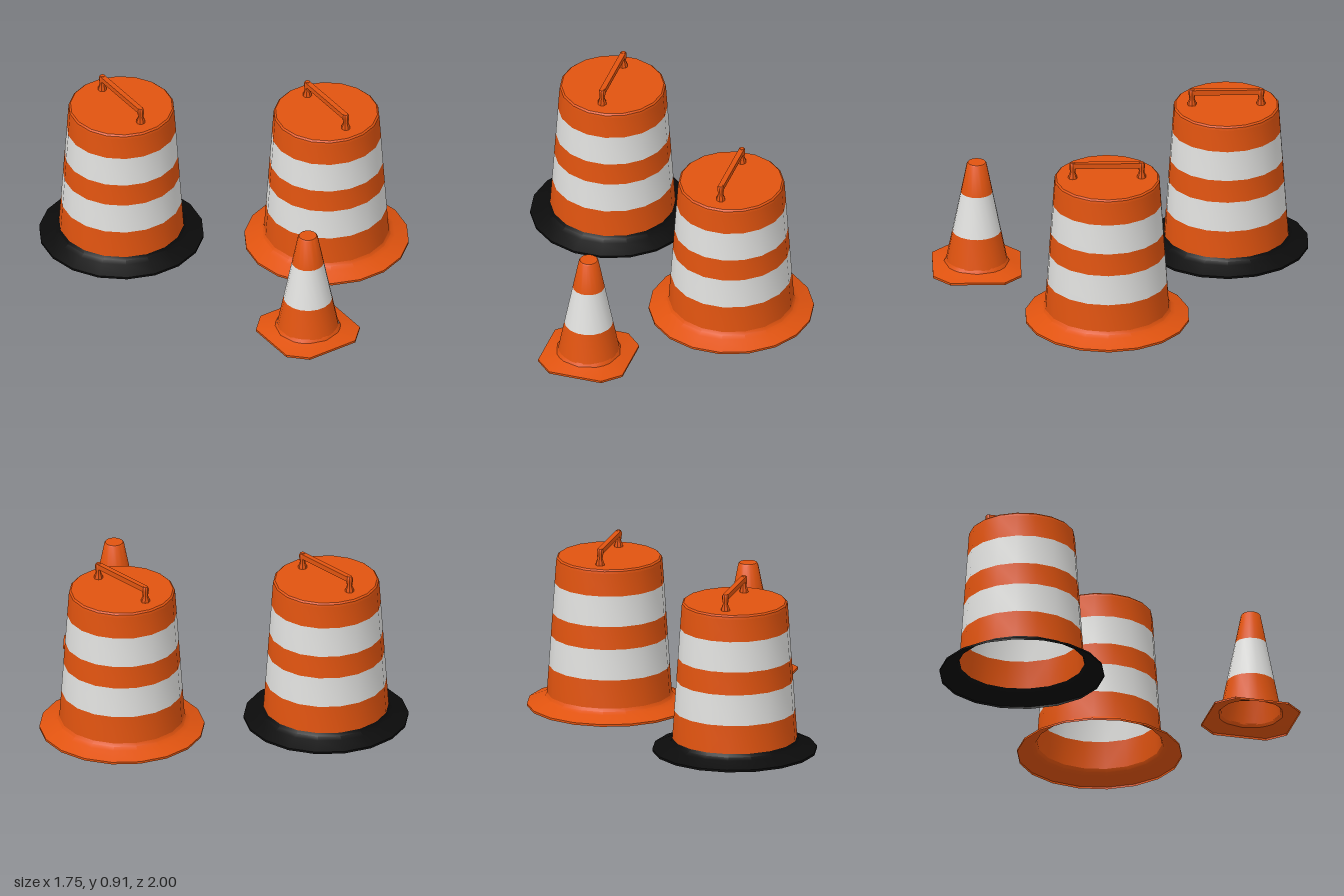
import * as THREE from 'three';
import { toCreasedNormals } from 'three/addons/utils/BufferGeometryUtils.js';

const SIDES = 18;

function material(name, color) {
  const m = new THREE.MeshStandardMaterial({ color, side: THREE.DoubleSide });
  m.name = name;
  return m;
}

function part(name, geometry, mat, parent) {
  const mesh = new THREE.Mesh(geometry, mat);
  mesh.name = name;
  parent.add(mesh);
  return mesh;
}

// Revolved shell from [radius, height] pairs, listed bottom to top
function turned(profile, sides = SIDES) {
  const points = profile.map(([r, y]) => new THREE.Vector2(r, y));
  return toCreasedNormals(new THREE.LatheGeometry(points, sides, Math.PI / 2), 0.6);
}

// Traffic drum: open underneath, striped tapering wall, flared foot ring, handle
function makeDrum(name, orange, white, footMaterial) {
  const drum = new THREE.Group();
  drum.name = name;
  const radius = (y) => 0.333 - (y - 0.07) * 0.0685;

  part('footRing', turned([[0.439, 0], [0.439, 0.012], [0.365, 0.042], [0.342, 0.054], [0.333, 0.07]]), footMaterial, drum);

  const edges = [0.07, 0.222, 0.388, 0.512, 0.677, 0.8];
  for (let i = 0; i < edges.length - 1; i++) {
    const [a, b] = [edges[i], edges[i + 1]];
    const striped = i % 2 === 1;
    part(striped ? 'reflectiveBand' : 'drumWall', turned([[radius(a), a], [radius(b), b]]), striped ? white : orange, drum);
  }
  part('lid', turned([[radius(0.8), 0.8], [0.281, 0.812], [0.272, 0.82], [0, 0.82]]), orange, drum);

  // Carry handle running front to back
  const bar = part('handleBar', new THREE.BoxGeometry(0.028, 0.028, 0.37), orange, drum);
  bar.position.y = 0.893;
  for (const s of [-1, 1]) {
    const post = part('handlePost', turned([[0.025, 0.815], [0.023, 0.832], [0.014, 0.855], [0.018, 0.882], [0.018, 0.9], [0.012, 0.909], [0, 0.909]], 8), orange, drum);
    post.position.z = s * 0.183;
  }
  return drum;
}

// Cone base: rings blending from a circle out to a square with cut corners
function coneBaseGeometry() {
  const half = 0.235, flat = 0.145;
  const corner = Math.atan2(flat, half);
  const angles = [];
  for (let q = 0; q < 4; q++) {
    for (const a of [0, corner, Math.PI / 4, Math.PI / 2 - corner]) angles.push(q * Math.PI / 2 + a);
  }
  const outline = (a) => {
    const c = Math.abs(Math.cos(a)), s = Math.abs(Math.sin(a));
    return Math.min(half / Math.max(c, s), (half + flat) / (c + s));
  };
  // [height, circle radius, blend towards the outline]
  const rings = [[0.024, 0, 1], [0.036, 0, 1], [0.05, 0.188, 0.1], [0.057, 0.174, 0], [0.075, 0.163, 0]];
  const n = angles.length;
  const positions = [], index = [];
  for (const [y, r, t] of rings) {
    for (const a of angles) {
      const d = r + (outline(a) - r) * t;
      positions.push(Math.sin(a) * d, y, Math.cos(a) * d);
    }
  }
  for (let k = 0; k < rings.length - 1; k++) {
    for (let i = 0; i < n; i++) {
      const a = k * n + i, b = k * n + (i + 1) % n;
      index.push(a, b, b + n, a, b + n, a + n);
    }
  }
  const g = new THREE.BufferGeometry();
  g.setAttribute('position', new THREE.Float32BufferAttribute(positions, 3));
  g.setIndex(index);
  return toCreasedNormals(g, 0.6);
}

function makeCone(orange, white) {
  const cone = new THREE.Group();
  cone.name = 'trafficCone';
  const radius = (y) => 0.163 - (y - 0.07) * 0.197;
  part('coneBase', coneBaseGeometry(), orange, cone);
  part('coneLower', turned([[radius(0.07), 0.07], [radius(0.238), 0.238]]), orange, cone);
  part('coneBand', turned([[radius(0.238), 0.238], [radius(0.465), 0.465]]), white, cone);
  part('coneTip', turned([[radius(0.465), 0.465], [radius(0.63), 0.63], [0.047, 0.637], [0, 0.637]]), orange, cone);
  return cone;
}

export function createModel() {
  const orange = material('safety orange', 0xe0530f);
  const white = material('reflective white', 0xe0e0de);
  const black = material('rubber black', 0x0b0b0b);

  const model = new THREE.Group();
  model.name = 'roadworkBarriers';

  const rearDrum = makeDrum('rearDrum', orange, white, black);
  rearDrum.position.set(-0.437, 0, -0.568);
  const frontDrum = makeDrum('frontDrum', orange, white, orange);
  frontDrum.position.set(0.436, 0, 0.085);
  const cone = makeCone(orange, white);
  cone.position.set(-0.14, 0, 0.765);

  model.add(rearDrum, frontDrum, cone);
  return model;
}
